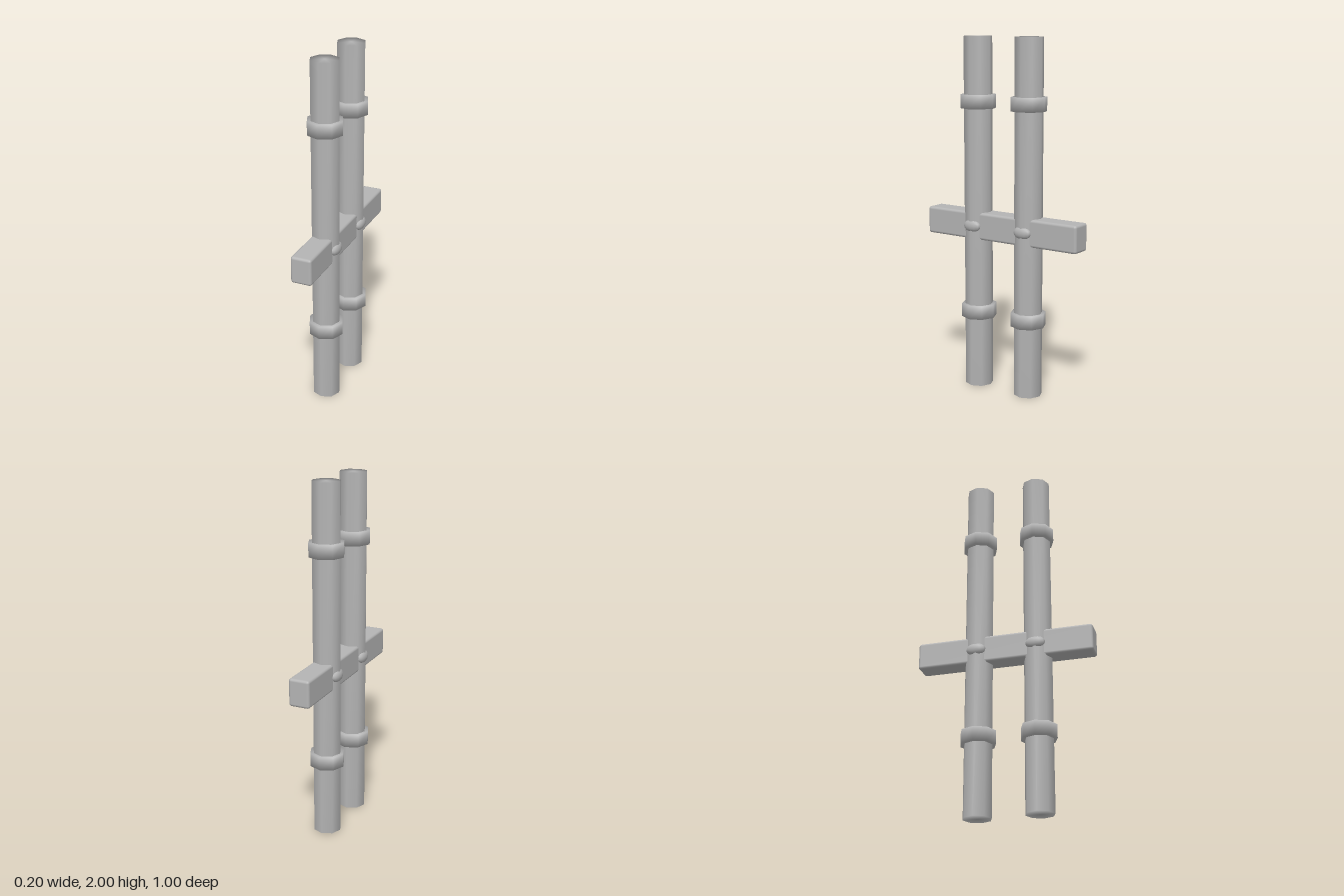
import * as THREE from 'three';
import { mergeVertices } from 'three/addons/utils/BufferGeometryUtils.js';
import { RoundedBoxGeometry } from 'three/addons/geometries/RoundedBoxGeometry.js';

const grey = new THREE.MeshStandardMaterial({ color: 0xb4b4b4 });
grey.name = 'grey metal';

// eight-sided cylinder with normals shared between sides and caps
function smoothCylinder(radius, height) {
  const g = new THREE.CylinderGeometry(radius, radius, height, 8);
  g.deleteAttribute('uv');
  g.deleteAttribute('normal');
  const merged = mergeVertices(g, 1e-4);
  merged.computeVertexNormals();
  return merged;
}

export function createModel() {
  const group = new THREE.Group();
  const add = (name, geometry, x, y, z) => {
    const mesh = new THREE.Mesh(geometry, grey);
    mesh.name = name;
    mesh.position.set(x, y, z);
    group.add(mesh);
    return mesh;
  };

  const pipe = smoothCylinder(0.08, 2);
  const collar = smoothCylinder(0.1, 0.077);
  const bolt = new THREE.SphereGeometry(1, 12, 8);

  // two upright pipes, each with two collars and a bolt on either side
  [['front', 0.18], ['back', -0.16]].forEach(([label, z]) => {
    add(label + 'Pipe', pipe, 0, 1, z);
    add(label + 'LowerCollar', collar, 0, 0.443, z);
    add(label + 'UpperCollar', collar, 0, 1.643, z);
    for (const side of [1, -1]) {
      const name = label + (side > 0 ? 'Left' : 'Right') + 'Bolt';
      add(name, bolt, side * 0.062, 0.945, z).scale.set(0.026, 0.036, 0.056);
    }
  });

  // horizontal beam passing through both pipes
  add('crossBeam', new RoundedBoxGeometry(0.12, 0.155, 1, 2, 0.015), 0, 0.945, 0);

  return group;
}
